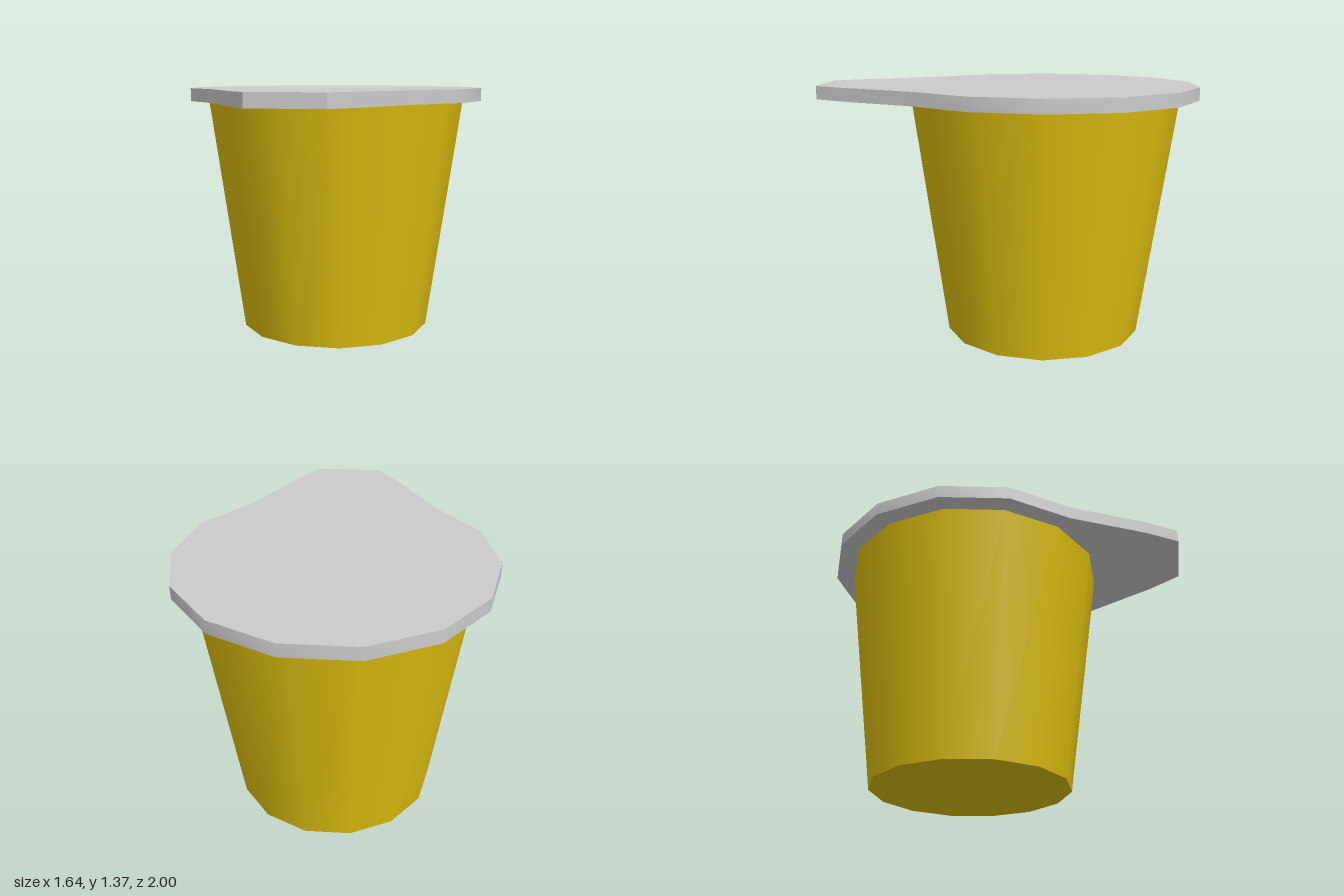
import * as THREE from 'three';
import { toCreasedNormals } from 'three/addons/utils/BufferGeometryUtils.js';

const SIDES = 14;
const CUP_Z = -0.2;
const CUP_HEIGHT = 1.3;
const LID_THICKNESS = 0.07;
const LID_RADIUS = 0.82;

// Tapered cup, smooth around its sides
function createCup() {
  const geometry = new THREE.CylinderGeometry(0.72, 0.54, CUP_HEIGHT, SIDES, 1, false, Math.PI / 2);
  const cup = new THREE.Mesh(geometry, new THREE.MeshStandardMaterial({ color: 0xdcbd10 }));
  cup.name = 'cup';
  cup.position.set(0, CUP_HEIGHT / 2, CUP_Z);
  return cup;
}

// Flat foil lid: a 14-sided disc whose front stretches into a pull tab
function createLid() {
  const outline = [];
  for (let i = -2; i <= 9; i++) {
    const a = Math.PI - (i * 2 * Math.PI) / SIDES;
    outline.push(new THREE.Vector2(LID_RADIUS * Math.cos(a), CUP_Z - LID_RADIUS * Math.sin(a)));
  }
  // Pull tab, from the model's left to its right
  for (const [x, z] of [[0.3, 0.83], [0.185, 1], [-0.185, 1], [-0.3, 0.83]]) {
    outline.push(new THREE.Vector2(x, z));
  }
  const extruded = new THREE.ExtrudeGeometry(new THREE.Shape(outline), {
    depth: LID_THICKNESS,
    bevelEnabled: false,
  });
  extruded.rotateX(Math.PI / 2);
  const geometry = toCreasedNormals(extruded, Math.PI / 6);
  const lid = new THREE.Mesh(geometry, new THREE.MeshStandardMaterial({ color: 0xcccccc }));
  lid.name = 'lid';
  lid.position.y = CUP_HEIGHT + LID_THICKNESS;
  return lid;
}

export function createModel() {
  const model = new THREE.Group();
  model.name = 'lidded cup';
  model.add(createCup(), createLid());
  return model;
}
